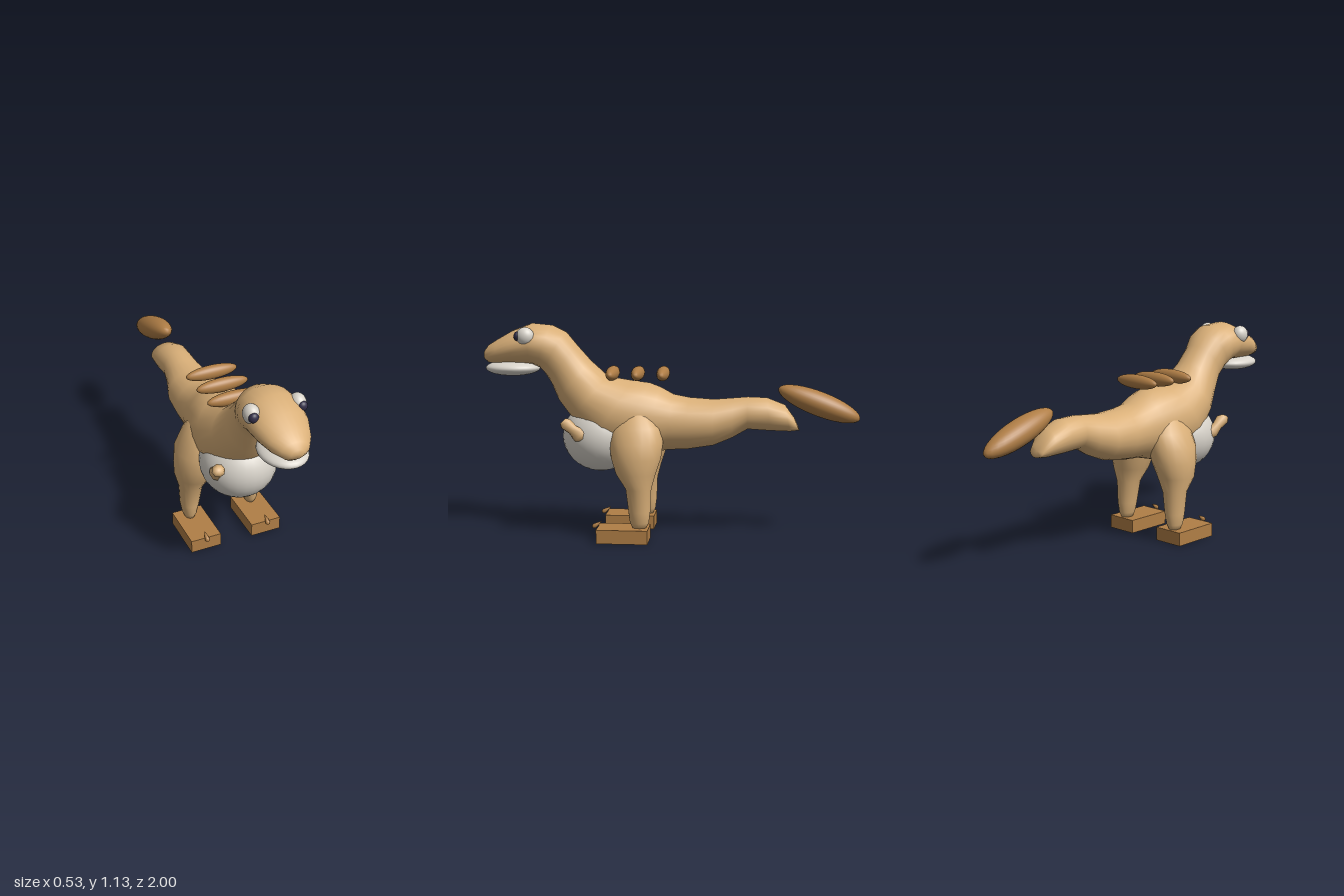
import * as THREE from 'three';

const mat = (name, color) => {
  const m = new THREE.MeshStandardMaterial({ color });
  m.name = name;
  return m;
};

// Skin through elliptical rings [x, y, z, halfWidth, halfHeight, tilt], with the ends closed.
function loft(rings, sides = 20) {
  const pos = [], index = [], n = rings.length;
  for (const [x, y, z, rx, rv, t] of rings) {
    for (let j = 0; j < sides; j++) {
      const a = (j / sides) * Math.PI * 2, v = Math.sin(a) * rv;
      pos.push(x + Math.cos(a) * rx, y + v * Math.cos(t), z - v * Math.sin(t));
    }
  }
  const first = n * sides, last = first + 1;
  pos.push(...rings[0].slice(0, 3), ...rings[n - 1].slice(0, 3));
  for (let j = 0; j < sides; j++) {
    const k = (j + 1) % sides, e = (n - 1) * sides;
    for (let i = 0; i < n - 1; i++) {
      const a = i * sides + j, b = i * sides + k;
      index.push(a, b, a + sides, b, b + sides, a + sides);
    }
    index.push(first, k, j, last, e + j, e + k);
  }
  const g = new THREE.BufferGeometry();
  g.setAttribute('position', new THREE.Float32BufferAttribute(pos, 3));
  g.setIndex(index);
  g.computeVertexNormals();
  return g;
}

export function createModel() {
  const tan = mat('tan skin', 0xd9af78);
  const brown = mat('brown', 0xb07e46);
  const cream = mat('pale grey', 0xd8d3ca);
  const dark = mat('dark pupil', 0x322e48);
  const group = new THREE.Group();

  const add = (name, geometry, material, p = [0, 0, 0]) => {
    const m = new THREE.Mesh(geometry, material);
    m.name = name;
    m.position.set(...p);
    group.add(m);
    return m;
  };
  const ball = (name, material, p, r) =>
    add(name, new THREE.SphereGeometry(1, 28, 18).scale(...r), material, p);

  // Tail, torso, neck and head in one skin: [z, y, halfWidth, halfHeight, tilt]
  const spine = [
    [-0.67, 0.608, 0.05, 0.035, -0.4],
    [-0.62, 0.64, 0.082, 0.072, -0.2],
    [-0.52, 0.66, 0.095, 0.088, -0.1],
    [-0.41, 0.665, 0.092, 0.086, 0],
    [-0.33, 0.638, 0.105, 0.106, 0],
    [-0.23, 0.613, 0.138, 0.123, 0],
    [-0.1, 0.607, 0.146, 0.138, 0],
    [0, 0.612, 0.15, 0.15, 0.1],
    [0.1, 0.615, 0.17, 0.19, 0.25],
    [0.2, 0.625, 0.185, 0.215, 0.42],
    [0.31, 0.66, 0.195, 0.205, 0.58],
    [0.43, 0.742, 0.17, 0.147, 0.72],
    [0.512, 0.83, 0.127, 0.137, 0.68],
    [0.57, 0.92, 0.115, 0.122, 0.6],
    [0.615, 0.98, 0.133, 0.122, 0.5],
    [0.665, 1.012, 0.147, 0.117, 0.3],
    [0.74, 1.026, 0.149, 0.108, 0],
    [0.84, 1.007, 0.136, 0.088, -0.05],
    [0.92, 0.984, 0.108, 0.066, -0.05],
    [0.975, 0.97, 0.072, 0.048, 0],
    [0.998, 0.965, 0.035, 0.024, 0],
  ];
  add('body', loft(spine.map(([z, y, w, h, t]) => [0, y, z, w, h, t]), 24), tan);
  ball('belly', cream, [0, 0.535, 0.375], [0.2, 0.19, 0.205]);
  ball('lowerJaw', cream, [0, 0.895, 0.848], [0.118, 0.042, 0.147]);

  // Back ridges and tail tip
  for (const z of [0.31, 0.175, 0.04]) ball('backRidge', brown, [0, 0.87, z], [0.143, 0.038, 0.034]);
  ball('tailTip', brown, [0, 0.717, -0.785], [0.073, 0.065, 0.229]).rotation.x = -0.36;

  // Leg rings from ankle up to hip: [x, y, z, halfWidth, halfDepth]
  const leg = [
    [0.18, 0.072, 0.15, 0.026, 0.036],
    [0.18, 0.1, 0.15, 0.038, 0.05],
    [0.178, 0.16, 0.15, 0.051, 0.058],
    [0.173, 0.28, 0.155, 0.064, 0.068],
    [0.167, 0.36, 0.17, 0.095, 0.105],
    [0.154, 0.44, 0.17, 0.11, 0.132],
    [0.14, 0.52, 0.17, 0.116, 0.142],
    [0.125, 0.6, 0.17, 0.092, 0.13],
    [0.11, 0.68, 0.17, 0.06, 0.08],
  ];
  // Arm rings from shoulder to hand: [x, y, z, halfWidth, halfHeight]
  const arm = [
    [0.15, 0.535, 0.43, 0.03, 0.025],
    [0.165, 0.555, 0.462, 0.032, 0.04],
    [0.175, 0.59, 0.5, 0.026, 0.028],
    [0.182, 0.622, 0.535, 0.036, 0.034],
    [0.186, 0.635, 0.55, 0.026, 0.02],
  ];
  for (const s of [1, -1]) {
    add('leg', loft(leg.map(([x, y, z, w, d]) => [s * x, y, z, w, d, Math.PI / 2])), tan);
    add('arm', loft(arm.map(([x, y, z, w, h]) => [s * x, y, z, w, h, 0.75]), 8), tan);
    add('foot', new THREE.BoxGeometry(0.168, 0.073, 0.27), brown, [s * 0.175, 0.0365, 0.235]);

    // Teardrop toe claw pointing up and back
    const drop = [[0, -0.018], [0.009, -0.014], [0.013, -0.004], [0.01, 0.012], [0.005, 0.03], [0, 0.044]];
    const claw = new THREE.LatheGeometry(drop.map(([x, y]) => new THREE.Vector2(x, y)), 12);
    add('toeClaw', claw, brown, [s * 0.177, 0.079, 0.385]).rotation.x = -0.97;

    ball('eye', cream, [s * 0.119, 1.07, 0.755], [0.041, 0.049, 0.048]);
    ball('pupil', dark, [s * 0.125, 1.072, 0.793], [0.025, 0.026, 0.021]);
  }
  return group;
}
